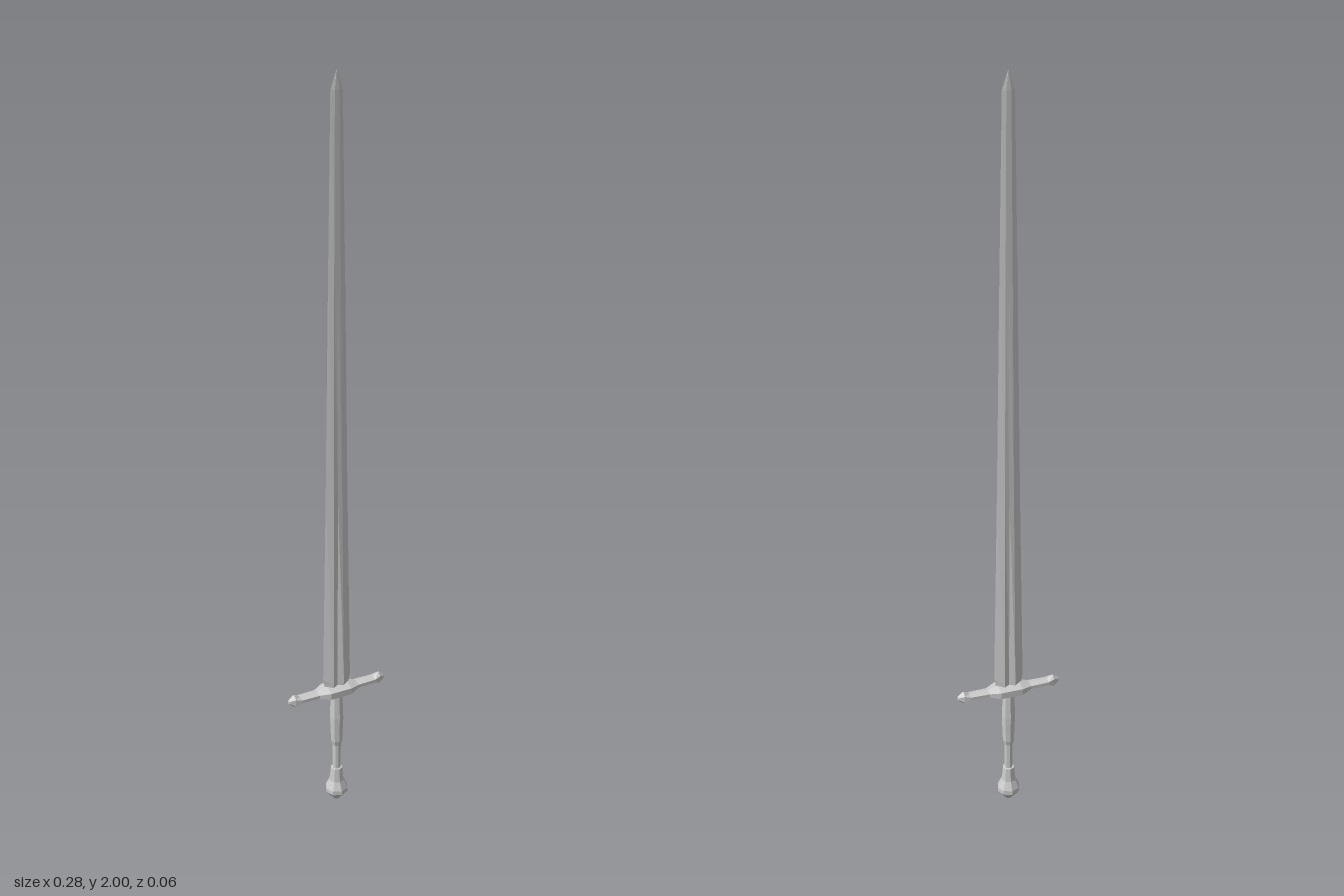
import * as THREE from 'three';

const material = new THREE.MeshStandardMaterial({ color: 0xcccccc, flatShading: true });

// Skins closed rings [u, v] placed at heights along an axis ('y': u=x, v=z; 'x': u=z, v=y).
function loft(rings, axis) {
  const n = rings[0].points.length, pos = [];
  const place = (at, [u, v]) => (axis === 'y' ? [u, at, v] : [at, v, u]);
  const tri = (...corners) => corners.forEach((c) => pos.push(...c));
  for (let r = 0; r < rings.length - 1; r++) {
    const lo = rings[r], hi = rings[r + 1];
    for (let i = 0; i < n; i++) {
      const j = (i + 1) % n;
      const a = place(lo.at, lo.points[i]), b = place(lo.at, lo.points[j]);
      const c = place(hi.at, hi.points[j]), d = place(hi.at, hi.points[i]);
      tri(a, d, c);
      tri(a, c, b);
    }
  }
  // End caps
  const first = rings[0], last = rings[rings.length - 1];
  for (let i = 0; i < n; i++) {
    const j = (i + 1) % n;
    tri(place(first.at, [0, 0]), place(first.at, first.points[i]), place(first.at, first.points[j]));
    tri(place(last.at, [0, 0]), place(last.at, last.points[j]), place(last.at, last.points[i]));
  }
  const geometry = new THREE.BufferGeometry();
  geometry.setAttribute('position', new THREE.Float32BufferAttribute(pos, 3));
  geometry.computeVertexNormals();
  return geometry;
}

function part(name, geometry) {
  const mesh = new THREE.Mesh(geometry, material);
  mesh.name = name;
  return mesh;
}

// Blade section: sharp edges, two ridges per face and a fuller between them
const bladeRing = (at, w, r, t, f) => ({
  at,
  points: [[w, 0], [r, t], [0, f], [-r, t], [-w, 0], [-r, -t], [0, -f], [r, -t]],
});

// Guard section: hexagon with a ridge along its top and underside
const guardRing = (at, z, h, y) => ({
  at,
  points: [[z, -h * 0.5], [z, h * 0.5], [0, h], [-z, h * 0.5], [-z, -h * 0.5], [0, -h]]
    .map(([u, v]) => [u, v + y]),
});

function createModel() {
  const sword = new THREE.Group();
  sword.name = 'sword';

  // Blade: half width, ridge position, ridge depth, fuller depth
  sword.add(part('blade', loft([
    bladeRing(0.355, 0.034, 0.014, 0.012, 0.006),
    bladeRing(0.38, 0.037, 0.015, 0.013, 0.006),
    bladeRing(0.395, 0.04, 0.015, 0.013, 0.006),
    bladeRing(0.93, 0.031, 0.012, 0.008, 0.007),
    bladeRing(1.5, 0.023, 0.009, 0.005, 0.005),
    bladeRing(1.955, 0.016, 0.006, 0.003, 0.003),
    bladeRing(2.0, 0.001, 0.0005, 0.0005, 0.0005),
  ], 'y')));

  // Crossguard: x, half depth, half height, mirrored about the middle
  const half = [
    [0.03, 0.029, 0.018], [0.058, 0.016, 0.009], [0.11, 0.0145, 0.009],
    [0.126, 0.012, 0.018], [0.142, 0.004, 0.006],
  ];
  const arm = (side) => half.map(([x, z, h]) => guardRing(side * x, z, h, 0));
  const guard = part('crossguard', loft([...arm(-1).reverse(), ...arm(1)], 'x'));
  guard.position.y = 0.356;
  sword.add(guard);

  // Turned grip and pommel
  const turned = (name, profile) =>
    part(name, new THREE.LatheGeometry(profile.map(([r, y]) => new THREE.Vector2(r, y)), 8));
  sword.add(turned('grip', [
    [0, 0.09], [0.011, 0.09], [0.012, 0.18], [0.016, 0.195], [0.019, 0.27],
    [0.016, 0.35], [0, 0.35],
  ]));
  sword.add(turned('pommel', [
    [0, 0], [0.008, 0.003], [0.031, 0.03], [0.031, 0.042], [0.02, 0.065], [0.016, 0.105], [0, 0.108],
  ]));

  return sword;
}

export { createModel };
